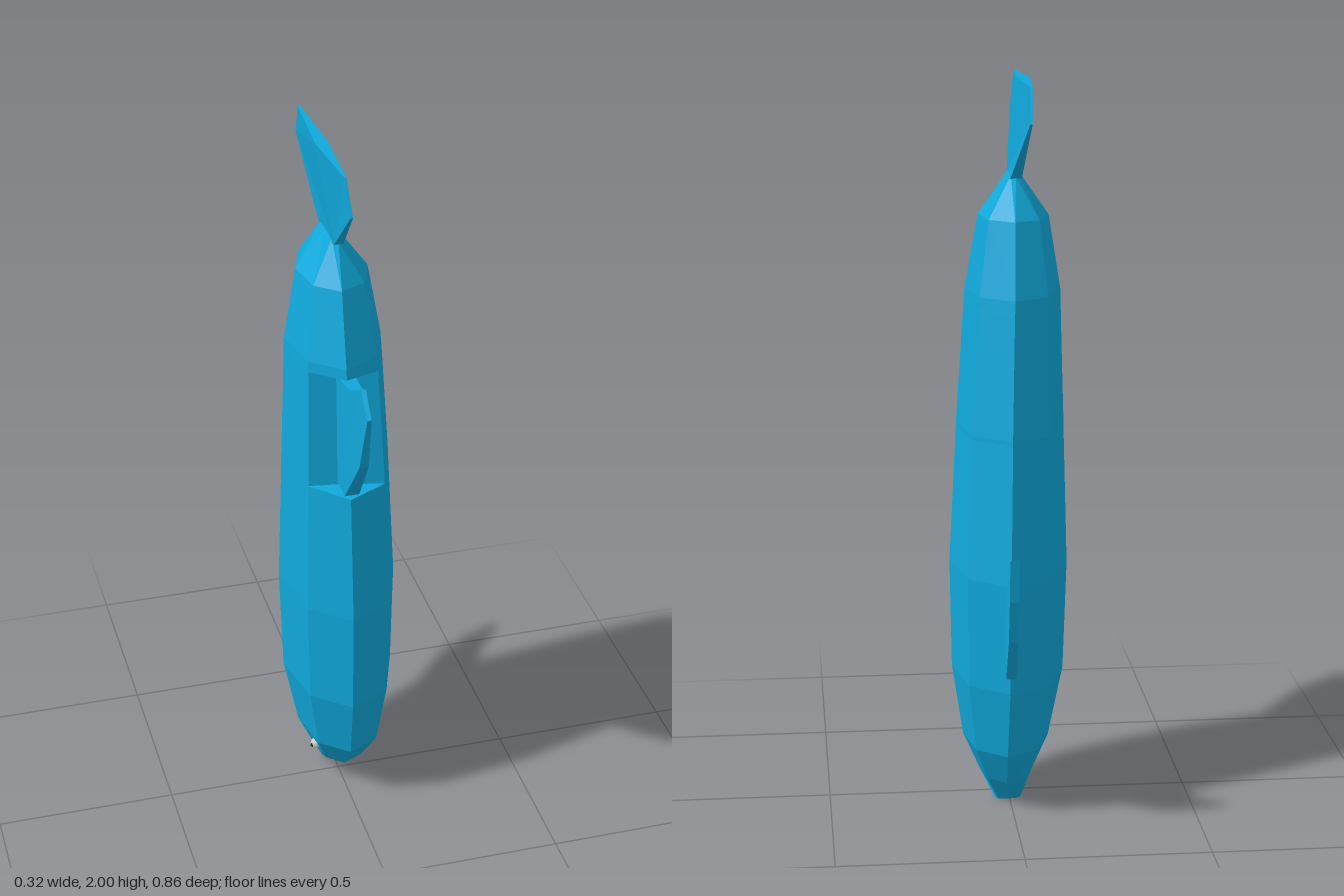
import * as THREE from 'three';

const skin = new THREE.MeshStandardMaterial({ color: 0x10a9dc, flatShading: true, side: THREE.DoubleSide });
const grey = new THREE.MeshStandardMaterial({ color: 0xcccccc, flatShading: true });
const dark = new THREE.MeshStandardMaterial({ color: 0x222222, flatShading: true });
const red = new THREE.MeshStandardMaterial({ color: 0xb0103c, flatShading: true });

function meshFrom(name, positions, index, material) {
  const indexed = new THREE.BufferGeometry();
  indexed.setAttribute('position', new THREE.Float32BufferAttribute(positions, 3));
  indexed.setIndex(index);
  const geometry = indexed.toNonIndexed();
  geometry.computeVertexNormals();
  const mesh = new THREE.Mesh(geometry, material);
  mesh.name = name;
  return mesh;
}

// Unit eight-sided cross-section; point 4 is the front ridge
const SECTION = [[0.09, -1], [0.78, -0.65], [1, 0.1], [0.63, 0.76],
  [-0.12, 1], [-0.78, 0.65], [-1, -0.08], [-0.63, -0.76]];

// Rings from nose to tail: y, xMin, xMax, zBack, zFront, ridge flattened beside the fin
const RINGS = [
  [0, -0.03, 0.04, -0.075, -0.05],
  [0.075, -0.065, 0.08, -0.145, 0.08],
  [0.175, -0.11, 0.125, -0.21, 0.16],
  [0.375, -0.15, 0.155, -0.265, 0.215],
  [0.68, -0.16, 0.16, -0.277, 0.23],
  [1.06, -0.15, 0.14, -0.25, 0.212],
  [1.07, -0.15, 0.14, -0.25, 0.211, true],
  [1.25, -0.145, 0.128, -0.233, 0.2, true],
  [1.4, -0.141, 0.118, -0.219, 0.188, true],
  [1.41, -0.141, 0.117, -0.218, 0.187],
  [1.44, -0.14, 0.115, -0.215, 0.184],
  [1.64, -0.108, 0.08, -0.165, 0.13],
  [1.75, -0.032, 0, -0.09, 0.07],
];

function makeBody() {
  const positions = [], index = [], n = SECTION.length;
  RINGS.forEach(([y, x0, x1, z0, z1, flat], r) => {
    SECTION.forEach(([u, v], k) => {
      const depth = flat && k === 4 ? 0.71 : v;
      positions.push((x0 + x1) / 2 + u * (x1 - x0) / 2, y, (z0 + z1) / 2 + depth * (z1 - z0) / 2);
      if (r === RINGS.length - 1) return;
      const a = r * n + k, b = r * n + (k + 1) % n;
      index.push(a, a + n, b + n, a, b + n, b);
    });
  });
  // End caps
  const top = (RINGS.length - 1) * n;
  for (let k = 1; k < n - 1; k++) index.push(0, k, k + 1, top, top + k + 1, top + k);
  return meshFrom('body', positions, index, skin);
}

// Thin fin from outline points [z, y, xMin, xMax], so thickness can taper
function makeFin(name, outline) {
  const flat = (p) => new THREE.Vector2(p[0], p[1]);
  const points = THREE.ShapeUtils.isClockWise(outline.map(flat)) ? [...outline].reverse() : outline;
  const n = points.length, positions = [], index = [];
  for (const side of [2, 3]) points.forEach((p) => positions.push(p[side], p[1], p[0]));
  for (const [a, b, c] of THREE.ShapeUtils.triangulateShape(points.map(flat), [])) {
    index.push(a, b, c, a + n, c + n, b + n);
  }
  for (let i = 0; i < n; i++) {
    const j = (i + 1) % n;
    index.push(j, i, i + n, j, i + n, j + n);
  }
  return meshFrom(name, positions, index, skin);
}

export function createModel() {
  const model = new THREE.Group();
  model.name = 'fish';
  model.add(makeBody());

  // Tail fin, thickest in the middle and leaning sideways toward the top
  model.add(makeFin('tailFin', [
    [0.07, 1.745, -0.03, -0.005], [0.26, 1.91, -0.04, -0.033], [0.215, 2, -0.043, -0.038],
    [0, 2, -0.06, -0.026], [-0.24, 2, -0.043, -0.036], [-0.285, 1.91, -0.038, -0.032],
    [-0.09, 1.745, -0.03, 0], [0, 1.73, -0.03, 0],
  ]));

  // Upper fin on the front ridge
  model.add(makeFin('frontFin', [
    [0.13, 1.08, -0.04, 0], [0.212, 1.075, -0.04, 0], [0.36, 1.25, -0.042, -0.017],
    [0.43, 1.43, -0.042, -0.031], [0.37, 1.485, -0.042, -0.029],
    [0.27, 1.43, -0.042, -0.01], [0.185, 1.41, -0.042, 0], [0.12, 1.4, -0.04, 0],
  ]));

  // Lower fin on the back ridge
  model.add(makeFin('backFin', [
    [-0.24, 0.42, 0, 0.026], [-0.268, 0.42, 0, 0.028], [-0.375, 0.56, 0.005, 0.031],
    [-0.41, 0.68, 0.007, 0.032], [-0.428, 0.8, 0.008, 0.032],
    [-0.34, 0.69, 0.003, 0.03], [-0.27, 0.64, 0, 0.028], [-0.24, 0.63, 0, 0.026],
  ]));

  // Eyes with pupils
  for (const side of [1, -1]) {
    const eye = new THREE.Group();
    eye.name = side > 0 ? 'leftEye' : 'rightEye';
    const ball = new THREE.Mesh(new THREE.SphereGeometry(0.016, 8, 6), grey);
    ball.name = 'eyeball';
    const pupil = new THREE.Mesh(new THREE.SphereGeometry(0.008, 6, 4), dark);
    pupil.name = 'pupil';
    pupil.position.set(side * 0.01, -0.003, 0.003);
    eye.add(ball, pupil);
    eye.position.set(side > 0 ? 0.085 : -0.076, 0.13, 0.035);
    model.add(eye);
  }

  // Small mouth patch under the nose tip
  const mouth = new THREE.Mesh(new THREE.BoxGeometry(0.045, 0.004, 0.018), red);
  mouth.name = 'mouth';
  mouth.position.set(0.005, 0.0015, -0.062);
  model.add(mouth);

  return model;
}
